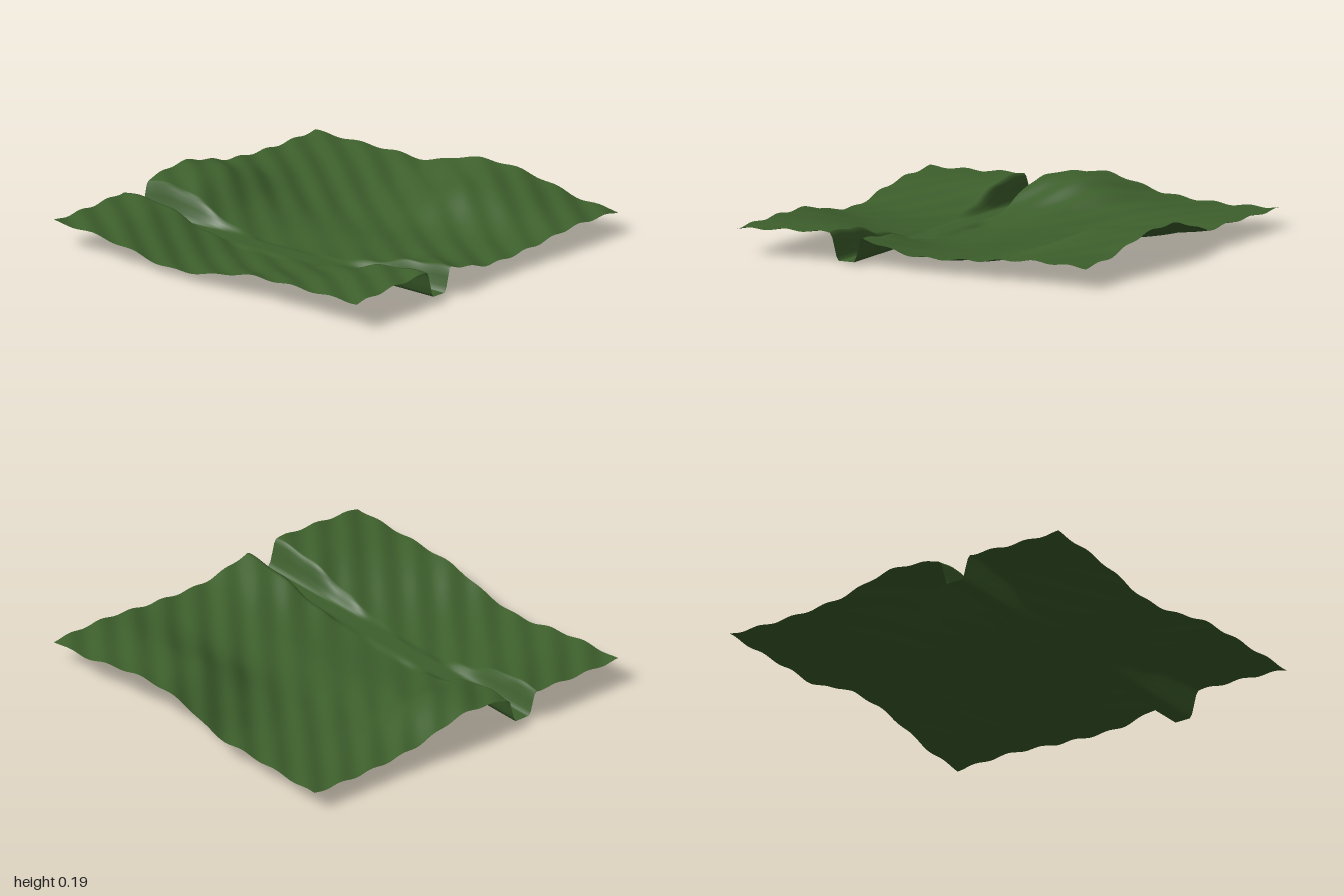
import * as THREE from 'three';

// Broad hill heights on a lattice: rows run back to front, columns from -x to +x
const HILLS = [
  [0.125, 0.130, 0.150, 0.185, 0.110, 0.085, 0.090],
  [0.115, 0.125, 0.145, 0.182, 0.105, 0.080, 0.092],
  [0.085, 0.075, 0.060, 0.075, 0.055, 0.070, 0.097],
  [0.045, 0.030, 0.006, 0.030, 0.020, 0.045, 0.100],
  [0.065, 0.028, 0.008, 0.025, 0.020, 0.080, 0.172],
  [0.118, 0.055, 0.025, 0.030, 0.030, 0.155, 0.192],
  [0.130, 0.100, 0.065, 0.040, 0.045, 0.145, 0.165],
  [0.130, 0.145, 0.130, 0.065, 0.060, 0.120, 0.118],
  [0.130, 0.150, 0.150, 0.080, 0.085, 0.112, 0.105],
];
const FLOOR = 0.017;
const SEGMENTS = 160;

// Catmull-Rom sample of evenly spaced values, t from -1 to 1
function spline(values, t) {
  const last = values.length - 1;
  const s = THREE.MathUtils.clamp((t + 1) / 2, 0, 1) * last;
  const i = Math.min(Math.floor(s), last - 1);
  const f = s - i;
  const b = values[i], c = values[i + 1];
  const a = i > 0 ? values[i - 1] : 2 * b - c;
  const d = i < last - 1 ? values[i + 2] : 2 * c - b;
  return b + 0.5 * f * (c - a + f * (2 * a - 5 * b + 4 * c - d + f * (3 * (b - c) + d - a)));
}

function heightAt(x, z) {
  const hills = spline(HILLS.map((row) => spline(row, x)), z);
  // Diagonal ripples, calmer around the middle clearing
  const calm = THREE.MathUtils.smoothstep(Math.hypot(x + 0.1, z), 0.1, 0.6);
  const ripple = 0.006 * (0.3 + 0.7 * calm) * Math.sin(31 * x + 24 * z);
  // Straight flat-bottomed channel running front to back
  const wall = THREE.MathUtils.clamp((Math.abs(x + 0.37) - 0.05) / 0.035, 0, 1);
  return Math.max(0, THREE.MathUtils.lerp(FLOOR, hills + ripple, wall));
}

export function createModel() {
  const group = new THREE.Group();
  group.name = 'terrain';

  const grass = new THREE.MeshStandardMaterial({ color: 0x3d5f2c, side: THREE.DoubleSide });
  grass.name = 'grass green';

  // Rolling ground sheet
  const geometry = new THREE.PlaneGeometry(2, 2, SEGMENTS, SEGMENTS).rotateX(-Math.PI / 2);
  const position = geometry.attributes.position;
  for (let i = 0; i < position.count; i++) {
    position.setY(i, heightAt(position.getX(i), position.getZ(i)));
  }
  geometry.computeVertexNormals();

  const ground = new THREE.Mesh(geometry, grass);
  ground.name = 'ground';
  group.add(ground);
  return group;
}
